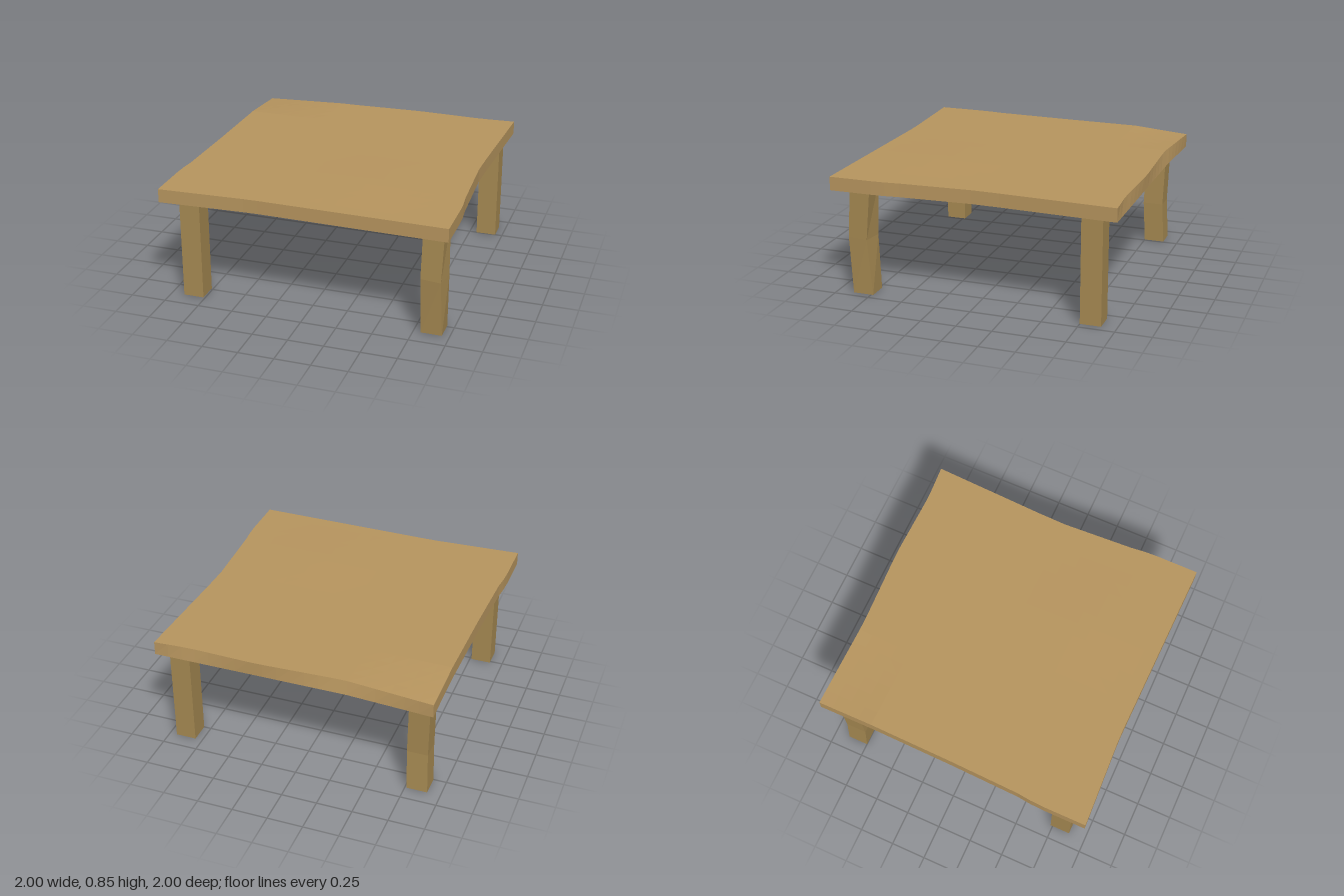
import * as THREE from 'three';

const wood = (color) => new THREE.MeshStandardMaterial({ color, flatShading: true });

// Piecewise linear profile through [position, value] pairs
function profile(points, t) {
  for (let i = 1; i < points.length; i++) {
    const [a, va] = points[i - 1], [b, vb] = points[i];
    if (t <= b) return THREE.MathUtils.lerp(va, vb, Math.max(0, (t - a) / (b - a)));
  }
  return points[points.length - 1][1];
}

// Worn outline of the table top, one profile for each edge
const leftEdge = [[-1, -0.955], [-0.6, -0.96], [0, -0.97], [0.5, -0.985], [0.64, -1], [1, -1]];
const rightEdge = [[-1, 1], [-0.2, 0.965], [0, 0.96], [0.5, 0.985], [0.64, 1], [1, 1]];
const frontEdge = [[-1, 1], [-0.35, 0.972], [1, 1]];
const backEdge = [[-1, -1], [-0.35, -0.977], [0.25, -1], [0.75, -0.985], [1, -1]];

function tableTop(material) {
  const geometry = new THREE.BoxGeometry(2, 0.095, 2, 20, 1, 20);
  const p = geometry.attributes.position;
  for (let i = 0; i < p.count; i++) {
    const u = p.getX(i), v = p.getZ(i), isTop = p.getY(i) > 0;
    const x = THREE.MathUtils.lerp(profile(leftEdge, v), profile(rightEdge, v), (u + 1) / 2);
    const back = isTop ? profile(backEdge, u) : -1;
    const z = THREE.MathUtils.lerp(back, profile(frontEdge, u), (v + 1) / 2);
    // one sagging corner, and a faint swell in the upper face
    const sag = 0.03 * profile([[-1, 1], [-0.4, 0]], u) * profile([[-1, 1], [-0.6, 0]], v);
    const swell = isTop ? 0.006 * Math.max(0, 1 - Math.hypot(u - 0.34, v - 0.46) / 0.5) : 0;
    p.setXYZ(i, x, (isTop ? 0.84 : 0.745) - sag + swell, z);
  }
  geometry.computeVertexNormals();
  const mesh = new THREE.Mesh(geometry, material);
  mesh.name = 'tableTop';
  return mesh;
}

// Square leg whose middle ring is shifted and twisted
function leg({ name, x, z, bendY, dx, dz, twist }, material) {
  const size = 0.145, height = 0.765;
  const geometry = new THREE.BoxGeometry(size, height, size, 1, 2, 1);
  const p = geometry.attributes.position;
  for (let i = 0; i < p.count; i++) {
    const px = p.getX(i), py = p.getY(i), pz = p.getZ(i);
    if (Math.abs(py) < 0.01) {
      const c = Math.cos(twist), s = Math.sin(twist);
      p.setXYZ(i, px * c + pz * s + dx, bendY, pz * c - px * s + dz);
    } else p.setY(i, py + height / 2);
  }
  geometry.computeVertexNormals();
  const mesh = new THREE.Mesh(geometry, material);
  mesh.name = name;
  mesh.position.set(x, 0, z);
  return mesh;
}

export function createModel() {
  const group = new THREE.Group();
  group.name = 'table';
  const legWood = wood(0xa88b53);
  group.add(tableTop(wood(0xb8965f)));
  const legs = [
    { name: 'frontLeftLeg', x: 0.875, z: 0.807, bendY: 0.4, dx: 0, dz: 0.018, twist: -0.14 },
    { name: 'frontRightLeg', x: -0.835, z: 0.807, bendY: 0.4, dx: 0, dz: 0, twist: 0 },
    { name: 'backLeftLeg', x: 0.875, z: -0.822, bendY: 0.4, dx: 0, dz: 0, twist: 0 },
    { name: 'backRightLeg', x: -0.835, z: -0.822, bendY: 0.3, dx: 0.01, dz: 0.015, twist: 0 },
  ];
  for (const spec of legs) group.add(leg(spec, legWood));
  return group;
}
